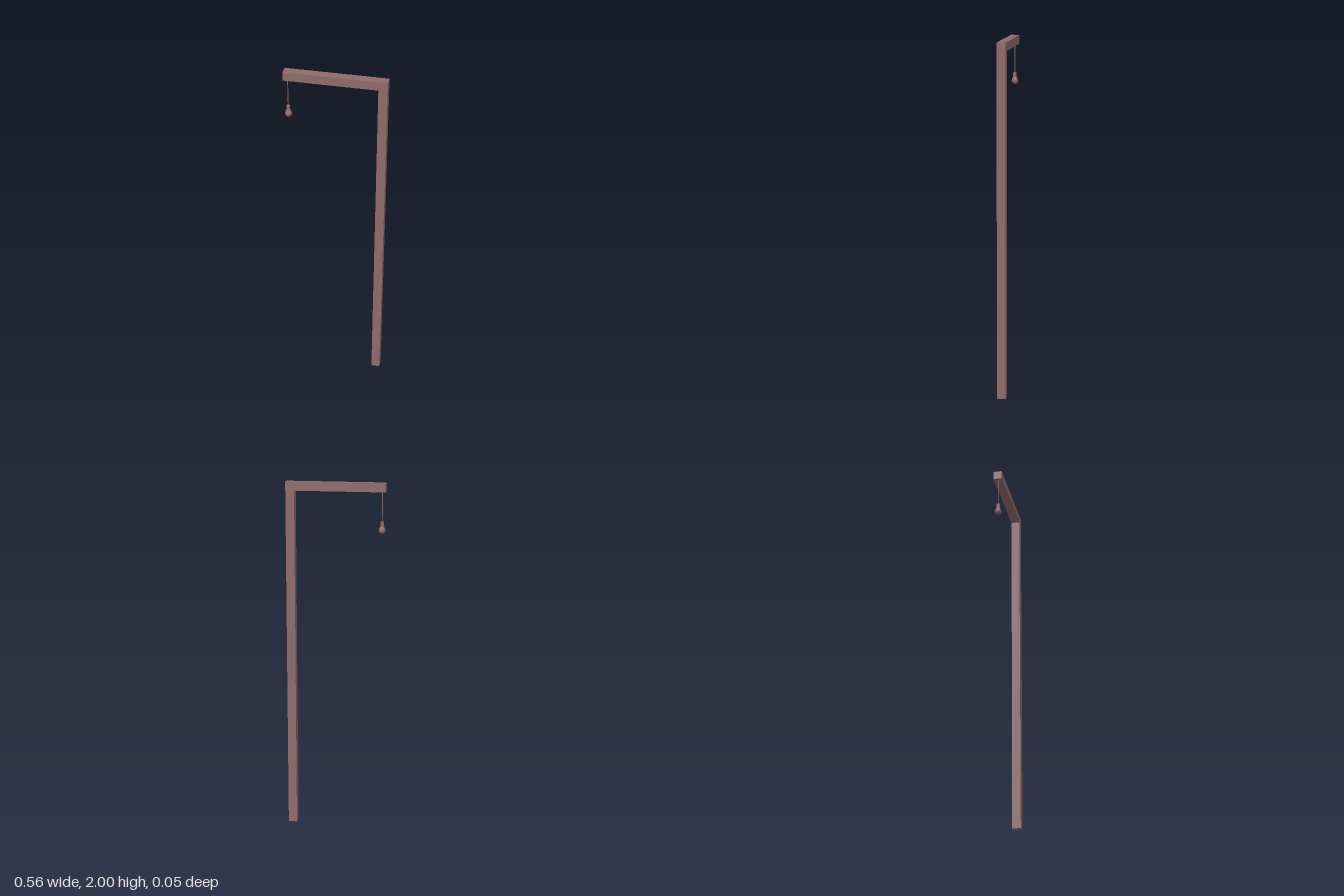
import * as THREE from 'three';

export function createModel() {
  const group = new THREE.Group();
  const material = new THREE.MeshStandardMaterial({ color: 0x8f6b6b });
  const add = (name, geometry, x, y, z) => {
    const mesh = new THREE.Mesh(geometry, material);
    mesh.name = name;
    mesh.position.set(x, y, z);
    group.add(mesh);
  };

  const halfSpan = 0.278, beam = 0.049, height = 2, lampX = -0.258;

  // Upright post and overhanging arm, one continuous L-shaped square beam
  const outline = new THREE.Shape([
    [halfSpan - beam, 0], [halfSpan, 0], [halfSpan, height],
    [-halfSpan, height], [-halfSpan, height - beam], [halfSpan - beam, height - beam],
  ].map(([x, y]) => new THREE.Vector2(x, y)));
  add('postAndArm', new THREE.ExtrudeGeometry(outline, { depth: beam, bevelEnabled: false }), 0, 0, -beam / 2);

  // Cord hanging from the end of the arm
  const cordTop = height - beam, cordBottom = 1.785;
  add('cord', new THREE.CylinderGeometry(0.0025, 0.0025, cordTop - cordBottom, 8),
    lampX, (cordTop + cordBottom) / 2, 0);

  // Socket
  add('socket', new THREE.CylinderGeometry(0.0095, 0.0105, 0.024, 16), lampX, 1.776, 0);

  // Pear-shaped bulb
  const profile = new THREE.SplineCurve([
    [0, 1.721], [0.009, 1.7235], [0.016, 1.73], [0.0185, 1.74],
    [0.0165, 1.75], [0.012, 1.759], [0.0095, 1.768],
  ].map(([r, y]) => new THREE.Vector2(r, y))).getPoints(18);
  profile[0].x = 0;
  add('bulb', new THREE.LatheGeometry(profile, 20), lampX, 0, 0);

  return group;
}
